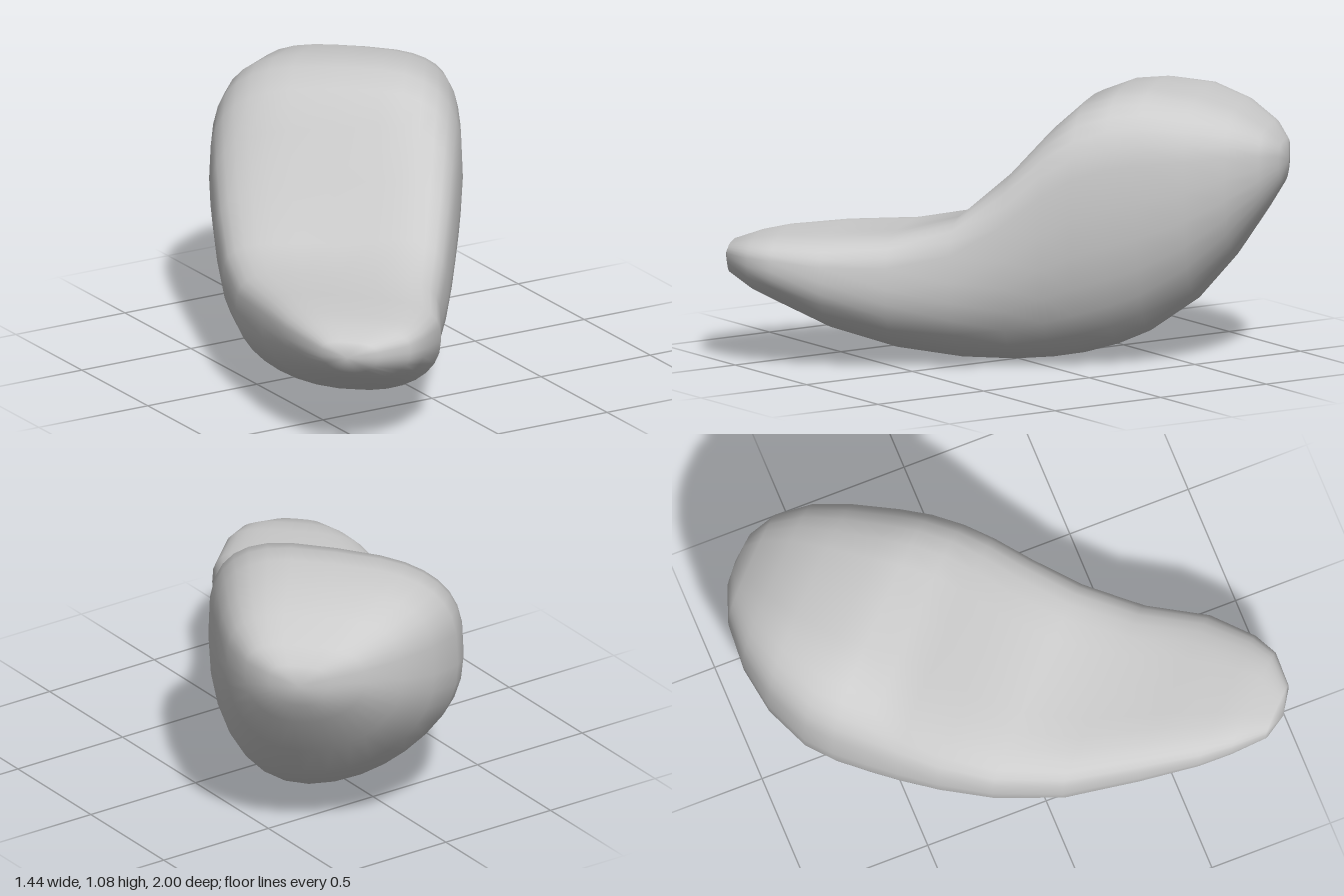
import * as THREE from 'three';
import { mergeVertices } from 'three/addons/utils/BufferGeometryUtils.js';

// Cross-sections along the long diagonal:
// [u, vMin, vMax, yBottom, yTop, top tilt, top dip, belly lean towards +v]
const SECTIONS = [
  [-1.128, 0.2, 0.2, 0.41, 0.41, 0, 0, 0],
  [-1.1, 0.09, 0.32, 0.34, 0.465, 0, 0, 0],
  [-1.0, -0.02, 0.425, 0.28, 0.495, 0, 0, 0],
  [-0.9, -0.11, 0.46, 0.23, 0.51, 0, 0, 0],
  [-0.7, -0.25, 0.475, 0.13, 0.525, 0, 0.01, 0.02],
  [-0.45, -0.415, 0.415, 0.04, 0.54, 0.02, 0.03, 0.03],
  [-0.2, -0.53, 0.38, 0.003, 0.61, 0.055, 0.06, 0.06],
  [0, -0.61, 0.355, 0.003, 0.765, 0.07, 0.04, 0.1],
  [0.15, -0.665, 0.335, 0.02, 0.925, 0.06, 0.02, 0.13],
  [0.27, -0.7, 0.317, 0.045, 1.025, 0.035, 0, 0.15],
  [0.4, -0.722, 0.293, 0.08, 1.07, 0.025, 0, 0.15],
  [0.52, -0.722, 0.26, 0.13, 1.078, 0.02, 0, 0.15],
  [0.7, -0.66, 0.205, 0.25, 1.055, 0, 0, 0.12],
  [0.85, -0.56, 0.14, 0.42, 1.005, 0, 0, 0.1],
  [0.97, -0.43, 0.045, 0.6, 0.93, 0, 0, 0.08],
  [1.03, -0.3, -0.06, 0.7, 0.87, 0, 0, 0],
  [1.047, -0.18, -0.18, 0.79, 0.79, 0, 0, 0],
];
const SIDES = 32;
const power = (t, p) => Math.sign(t) * Math.abs(t) ** p;

// One rounded section: flat, slightly hollow top and a round, leaning belly
function sectionPoint([u, v0, v1, y0, y1, tilt, dip, lean], angle) {
  const upper = Math.sin(angle) > 0;
  const roundness = upper ? 0.64 : 0.95;
  const w = power(Math.cos(angle), roundness);
  const h = power(Math.sin(angle), roundness);
  const v = (v0 + v1) / 2 + w * (v1 - v0) / 2;
  const depth = y1 - y0;
  let y = y0 + depth * 0.58;
  if (upper) y += h * (depth * 0.42 + tilt * w - dip * (1 - w * w));
  else y += h * depth * (0.58 + lean * w);
  return [(u + v) * Math.SQRT1_2, y, (v - u) * Math.SQRT1_2];
}

function loft(sections, sides) {
  const position = [], index = [];
  sections.forEach((section, i) => {
    for (let j = 0; j < sides; j++) {
      position.push(...sectionPoint(section, (j / sides) * Math.PI * 2));
      if (i === sections.length - 1) continue;
      const a = i * sides + j, b = i * sides + ((j + 1) % sides);
      index.push(a, a + sides, b, b, a + sides, b + sides);
    }
  });
  let geometry = new THREE.BufferGeometry();
  geometry.setAttribute('position', new THREE.Float32BufferAttribute(position, 3));
  geometry.setIndex(index);
  geometry = mergeVertices(geometry, 1e-4); // closes both ends to a point
  geometry.computeVertexNormals();
  return geometry;
}

export function createModel() {
  const group = new THREE.Group();
  group.name = 'curvedPebble';
  const body = new THREE.Mesh(
    loft(SECTIONS, SIDES),
    new THREE.MeshStandardMaterial({ color: 0xcccccc })
  );
  body.name = 'body';
  group.add(body);
  return group;
}
